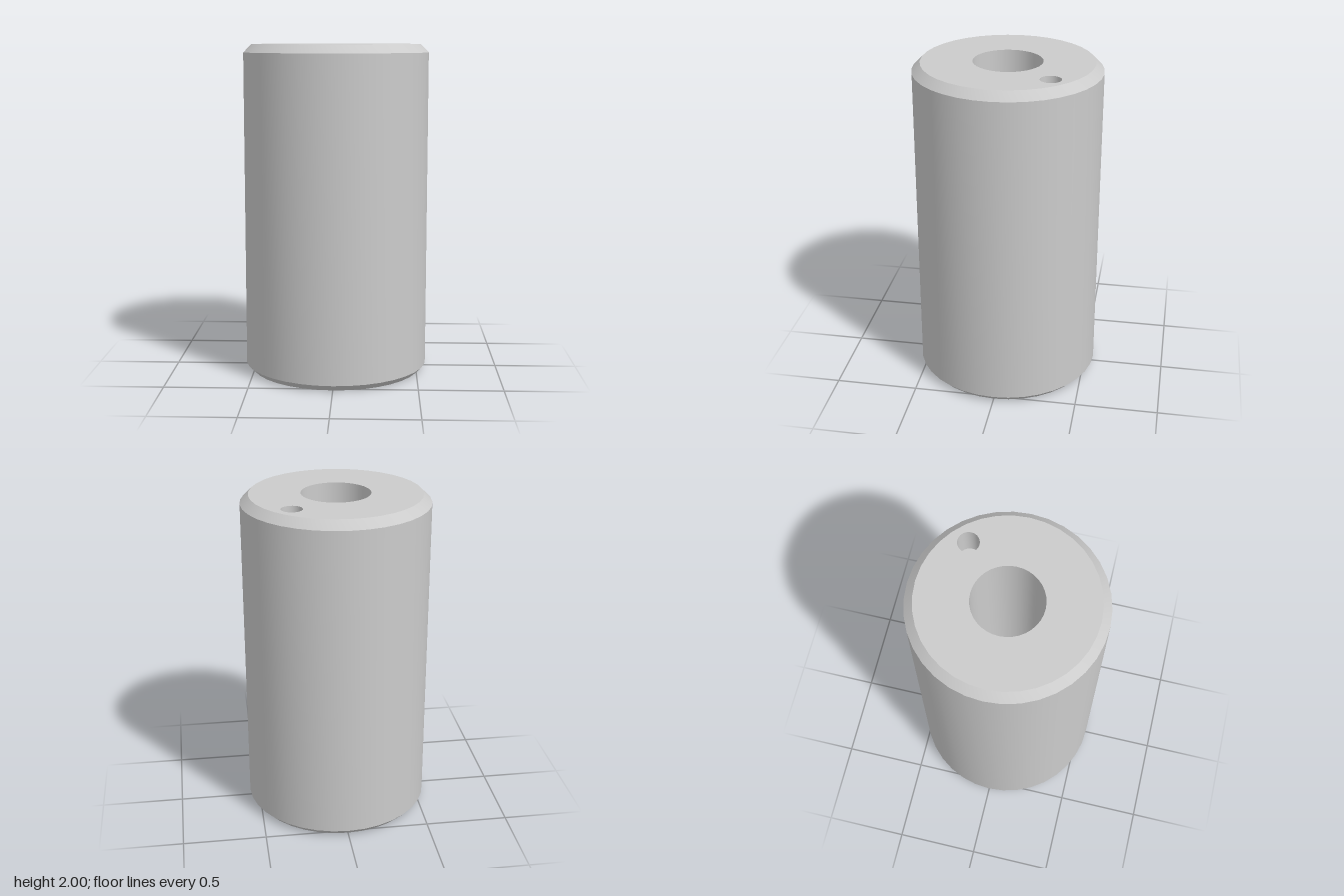
import * as THREE from 'three';
import { toCreasedNormals } from 'three/addons/utils/BufferGeometryUtils.js';

const SEGMENTS = 36;
const BORE_R = 0.206, RECESS_R = 0.317, RECESS_DEPTH = 0.15;
const PIN = { x: 0.287, z: -0.288, r: 0.062, depth: 0.2 };
const TOP_R = 0.51, BOTTOM_R = 0.524, HEIGHT = 2;

export function createModel() {
  const model = new THREE.Group();
  model.name = 'bushing';
  const material = new THREE.MeshStandardMaterial({ color: 0xcccccc });

  const add = (name, geometry) => {
    const mesh = new THREE.Mesh(geometry, material);
    mesh.name = name;
    model.add(mesh);
    return mesh;
  };

  // Turned surface: smooth around, sharp between profile segments
  const turned = (name, profile) => {
    const points = profile.map(([r, y]) => new THREE.Vector2(r, y));
    return add(name, toCreasedNormals(new THREE.LatheGeometry(points, SEGMENTS), Math.PI / 6));
  };

  // Flat end face with a central opening and an off-centre pin hole
  const endFace = (name, outerR, innerR, y, up) => {
    const shape = new THREE.Shape().absarc(0, 0, outerR, 0, Math.PI * 2);
    shape.holes.push(
      new THREE.Path().absarc(0, 0, innerR, 0, Math.PI * 2, true),
      new THREE.Path().absarc(PIN.x, -up * PIN.z, PIN.r, 0, Math.PI * 2, true)
    );
    const geometry = new THREE.ShapeGeometry(shape, SEGMENTS / 2);
    geometry.rotateX(-up * Math.PI / 2);
    add(name, geometry).position.y = y;
  };

  // Outer wall with a chamfer at each end
  turned('outerWall', [[BOTTOM_R, 0], [0.56, 0.037], [0.56, 1.95], [TOP_R, HEIGHT]]);

  // Through bore, widening to a recess at the bottom
  turned('bore', [[BORE_R, HEIGHT], [BORE_R, RECESS_DEPTH], [RECESS_R, RECESS_DEPTH], [RECESS_R, 0]]);

  endFace('topFace', TOP_R, BORE_R, HEIGHT, 1);
  endFace('bottomFace', BOTTOM_R, RECESS_R, 0, -1);

  // Blind pin holes, one in each end
  const topFloor = HEIGHT - PIN.depth;
  turned('topPinHole', [[PIN.r, HEIGHT], [PIN.r, topFloor], [0, topFloor]])
    .position.set(PIN.x, 0, PIN.z);
  turned('bottomPinHole', [[0, PIN.depth], [PIN.r, PIN.depth], [PIN.r, 0]])
    .position.set(PIN.x, 0, PIN.z);

  return model;
}
